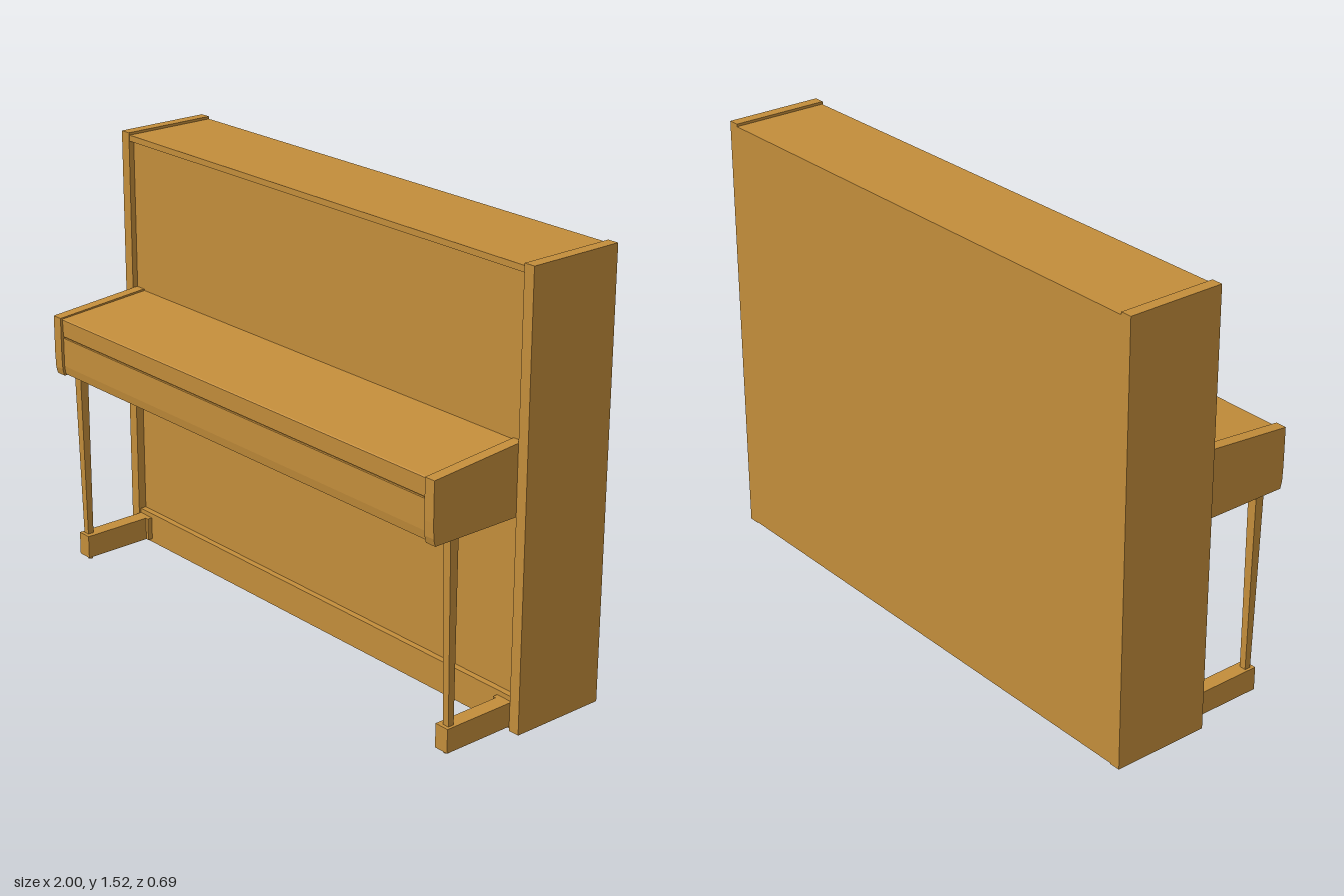
import * as THREE from 'three';

export function createModel() {
  const piano = new THREE.Group();
  piano.name = 'uprightPiano';
  const wood = new THREE.MeshStandardMaterial({ color: 0xc48e3b });
  wood.name = 'honeyWood';

  const add = (name, geometry) => {
    const mesh = new THREE.Mesh(geometry, wood);
    mesh.name = name;
    piano.add(mesh);
    return mesh;
  };

  // Box given by its lower and upper limits on each axis
  const box = (name, [x0, x1], [y0, y1], [z0, z1]) =>
    add(name, new THREE.BoxGeometry(x1 - x0, y1 - y0, z1 - z0)
      .translate((x0 + x1) / 2, (y0 + y1) / 2, (z0 + z1) / 2));

  // Side profile of [z, y] points, extruded from x0 to x1
  const profile = (name, points, x0, x1) => {
    const shape = new THREE.Shape(points.map(([z, y]) => new THREE.Vector2(-z, y)));
    const geometry = new THREE.ExtrudeGeometry(shape, { depth: x1 - x0, bevelEnabled: false });
    return add(name, geometry.rotateY(Math.PI / 2).translate(x0, 0, 0));
  };

  // Cabinet body, with the front panels set back between the sides
  const inner = [-0.96, 0.96];
  box('lowerPanel', inner, [0.115, 0.74], [-0.345, -0.025]);
  box('upperPanel', inner, [0.74, 1.495], [-0.345, -0.015]);
  box('plinth', inner, [0.003, 0.115], [-0.345, -0.003]);
  box('topLid', inner, [1.495, 1.516], [-0.345, 0.002]);

  // Keyboard case: sloping lid, fallboard and key slip, split by a narrow groove
  profile('keyboardLid', [
    [-0.02, 0.868], [0.335, 0.868], [0.337, 0.929], [0.333, 0.932], [-0.02, 0.96],
  ], -0.92, 0.92);
  box('lidGroove', [-0.92, 0.92], [0.862, 0.868], [-0.02, 0.328]);
  profile('keySlip', [
    [-0.02, 0.73], [0.331, 0.73], [0.335, 0.76], [0.335, 0.862], [-0.02, 0.862],
  ], -0.92, 0.92);

  for (const side of [-1, 1]) {
    const label = side > 0 ? 'left' : 'right';
    const span = (a, b) => (side > 0 ? [a, b] : [-b, -a]);

    box(label + 'CabinetSide', span(0.96, 1), [0, 1.525], [-0.345, 0.005]);

    // Cheek block at the end of the keyboard
    profile(label + 'Cheek', [
      [-0.02, 0.725], [0.337, 0.725], [0.343, 0.75], [0.345, 0.8],
      [0.345, 0.936], [0, 0.965], [-0.02, 0.965],
    ], ...span(0.92, 0.96));

    // Tapered leg, leaning slightly back toward its foot
    const leg = new THREE.BoxGeometry(1, 1, 1);
    const p = leg.attributes.position;
    for (let i = 0; i < p.count; i++) {
      const top = p.getY(i) > 0;
      p.setXYZ(i,
        side * 0.938 + p.getX(i) * (top ? 0.034 : 0.024),
        top ? 0.73 : 0.095,
        (top ? 0.254 : 0.246) + p.getZ(i) * (top ? 0.032 : 0.022));
    }
    leg.computeVertexNormals();
    add(label + 'Leg', leg);

    // Toe block with a wider root and a small glide under its tip
    box(label + 'Toe', span(0.907, 0.96), [0.015, 0.098], [-0.02, 0.27]);
    box(label + 'ToeRoot', span(0.895, 0.907), [0.015, 0.098], [-0.02, 0.015]);
    add(label + 'Glide', new THREE.CylinderGeometry(0.009, 0.009, 0.02, 16)
      .translate(side * 0.933, 0.01, 0.246));
  }
  return piano;
}
